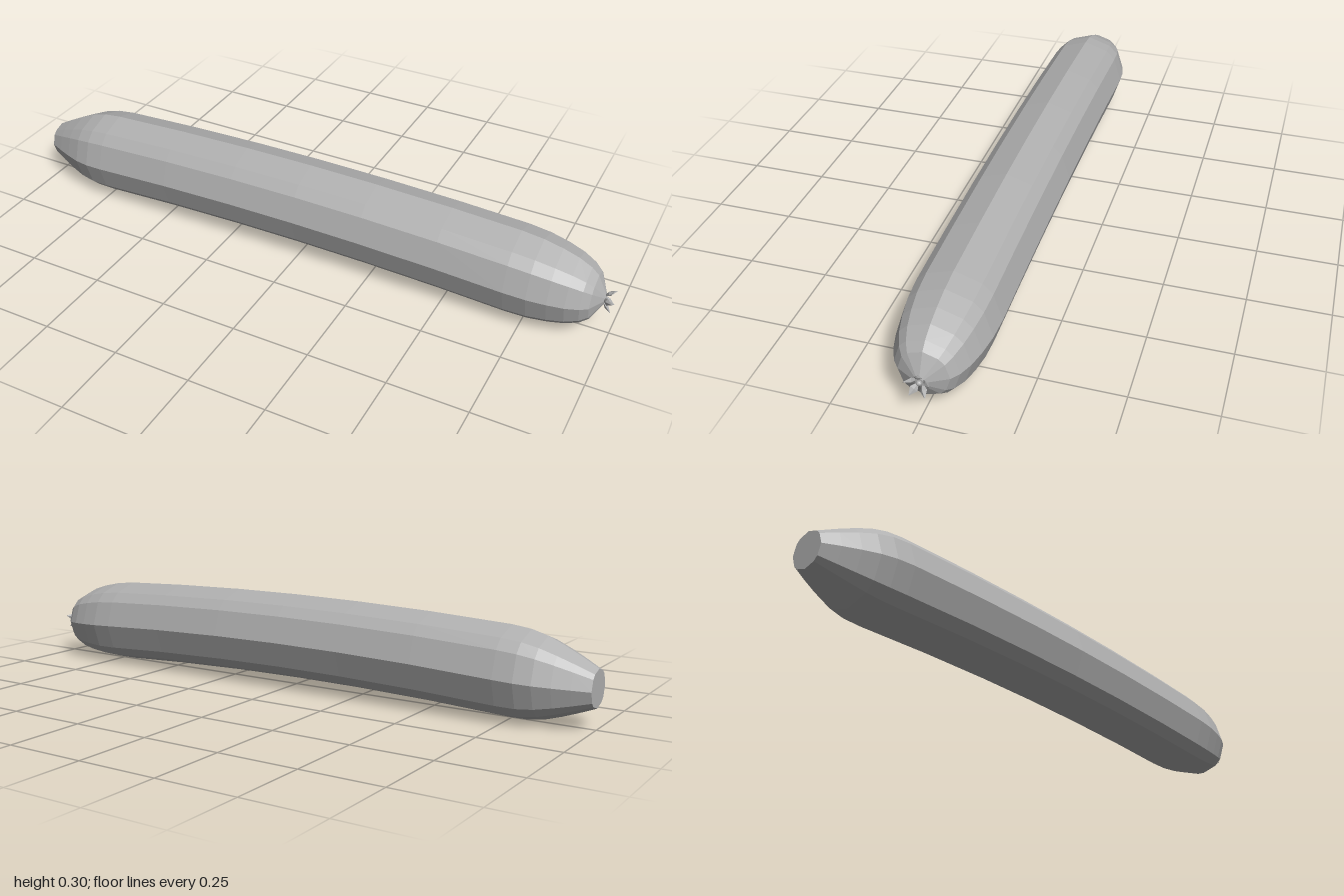
import * as THREE from 'three';

// Height of the gently arched centre line
const centreY = (x) => 0.165 - 0.039 * x * x;

// [x, radius] from the blunt stem end to the blossom end
const PROFILE = [
  [-1, 0.057], [-0.95, 0.081], [-0.9, 0.103], [-0.85, 0.122], [-0.8, 0.133], [-0.74, 0.137],
  [-0.48, 0.137], [-0.23, 0.137], [0, 0.137], [0.23, 0.137], [0.48, 0.137],
  [0.7, 0.137], [0.77, 0.133], [0.83, 0.123], [0.88, 0.11], [0.92, 0.092], [0.943, 0.073], [0.974, 0.012],
];

// Uneven twelve-sided cross-section, in degrees from the top
const ANGLES = [0, 36, 54, 90, 126, 144, 180, 216, 234, 270, 306, 324];

function bodyGeometry() {
  const positions = [];
  const index = [];
  const n = ANGLES.length;
  for (const [x, r] of PROFILE) {
    for (const deg of ANGLES) {
      const t = THREE.MathUtils.degToRad(deg);
      positions.push(x, centreY(x) + r * Math.cos(t), r * Math.sin(t));
    }
  }
  const last = PROFILE.length - 1;
  for (let i = 0; i < last; i++) {
    for (let j = 0; j < n; j++) {
      const a = i * n + j, b = i * n + (j + 1) % n;
      index.push(a, b, b + n, a, b + n, a + n);
    }
  }
  // Flat end caps
  const start = positions.length / 3;
  for (const x of [PROFILE[0][0], PROFILE[last][0]]) positions.push(x, centreY(x), 0);
  for (let j = 0; j < n; j++) {
    const k = (j + 1) % n;
    index.push(start, k, j, start + 1, last * n + j, last * n + k);
  }
  const geometry = new THREE.BufferGeometry();
  geometry.setAttribute('position', new THREE.Float32BufferAttribute(positions, 3));
  geometry.setIndex(index);
  const flat = geometry.toNonIndexed();
  flat.computeVertexNormals();
  return flat;
}

export function createModel() {
  const model = new THREE.Group();
  model.name = 'cucumber';
  const skin = new THREE.MeshStandardMaterial({ color: 0xb0b0b0, flatShading: true });
  skin.name = 'plain grey';

  const body = new THREE.Mesh(bodyGeometry(), skin);
  body.name = 'body';
  model.add(body);

  // Dried blossom: five pointed petals flaring outwards around a small bud
  const blossom = new THREE.Group();
  blossom.name = 'blossom';
  blossom.position.set(0, centreY(0.98), 0);
  const petalGeometry = new THREE.OctahedronGeometry(1);
  for (let i = 0; i < 5; i++) {
    const pivot = new THREE.Group();
    pivot.name = 'petalPivot';
    pivot.rotation.x = (i * Math.PI * 2) / 5;
    const petal = new THREE.Mesh(petalGeometry, skin);
    petal.name = 'petal';
    petal.position.set(0.982, 0.023, 0);
    petal.rotation.z = -0.8;
    petal.scale.set(0.006, 0.022, 0.012);
    pivot.add(petal);
    blossom.add(pivot);
  }
  const bud = new THREE.Mesh(new THREE.IcosahedronGeometry(0.008, 1), skin);
  bud.name = 'bud';
  bud.position.x = 0.977;
  blossom.add(bud);
  model.add(blossom);

  return model;
}
